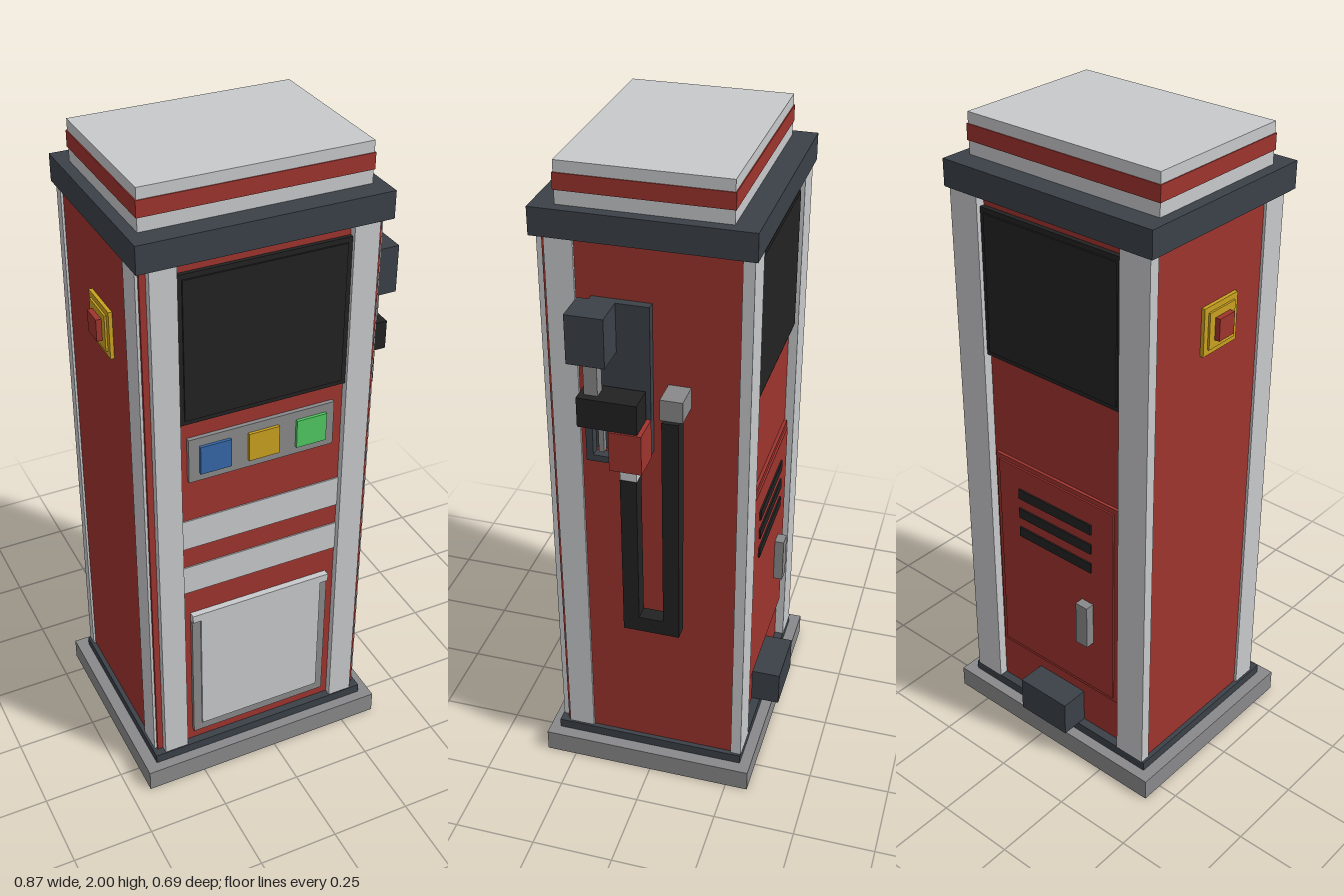
import * as THREE from 'three';

const mat = (name, color) => {
  const m = new THREE.MeshStandardMaterial({ color });
  m.name = name;
  return m;
};

export function createModel() {
  const light = mat('light grey', 0xc8c9cb), grey = mat('mid grey', 0x89898b);
  const slate = mat('dark slate', 0x3b4148), black = mat('black', 0x222222);
  const red = mat('red', 0x9e342e), blue = mat('blue', 0x3567a8);
  const yellow = mat('yellow', 0xc9a120), green = mat('green', 0x50c862);

  const model = new THREE.Group();
  model.name = 'fuelPump';
  const group = (name) => {
    const g = new THREE.Group();
    g.name = name;
    model.add(g);
    return g;
  };
  // Box given by its extents on each axis
  const box = (parent, name, m, [x0, x1], [y0, y1], [z0, z1]) => {
    const mesh = new THREE.Mesh(new THREE.BoxGeometry(x1 - x0, y1 - y0, z1 - z0), m);
    mesh.position.set((x0 + x1) / 2, (y0 + y1) / 2, (z0 + z1) / 2);
    mesh.name = name;
    parent.add(mesh);
    return mesh;
  };

  // Cabinet centre line and the panel opening between the pillars
  const CX = -0.037;
  const wide = (h) => [CX - h, CX + h];
  const panel = [-0.29, 0.217];

  // Base, body and roof
  const cabinet = group('cabinet');
  box(cabinet, 'base', grey, wide(0.4), [0, 0.07], [-0.32, 0.345]);
  box(cabinet, 'plinth', slate, wide(0.363), [0.07, 0.1], [-0.286, 0.313]);
  box(cabinet, 'body', red, wide(0.348), [0.1, 1.8], [-0.258, 0.288]);
  box(cabinet, 'cap', slate, wide(0.3665), [1.8, 1.88], [-0.295, 0.318]);
  box(cabinet, 'crown', light, wide(0.333), [1.88, 2], [-0.226, 0.253]);
  box(cabinet, 'crownStripe', red, wide(0.336), [1.92, 1.967], [-0.229, 0.256]);

  // Corner pillars: stepped at the front, flat at the back
  const pillars = group('pillars');
  for (const s of [-1, 1]) {
    const span = (a, b) => [CX + s * a, CX + s * b].sort((p, q) => p - q);
    box(pillars, 'frontPillar', light, span(0.2535, 0.33), [0.1, 1.8], [0.2, 0.31]);
    box(pillars, 'frontPillarSide', light, span(0.33, 0.356), [0.1, 1.8], [0.2, 0.28]);
    box(pillars, 'backPillar', light, span(0.2535, 0.355), [0.1, 1.8], [-0.286, -0.254]);
  }

  // Screens front and back
  const screens = group('screens');
  box(screens, 'frontScreen', black, panel, [1.31, 1.765], [0.28, 0.3]);
  box(screens, 'frontScreenGlass', black, [-0.275, 0.202], [1.325, 1.75], [0.3, 0.305]);
  box(screens, 'backScreen', black, panel, [1.31, 1.765], [-0.273, -0.25]);
  box(screens, 'backScreenGlass', black, [-0.275, 0.202], [1.325, 1.75], [-0.278, -0.273]);

  // Grade buttons
  const selector = group('gradeSelector');
  box(selector, 'selectorPanel', grey, [-0.265, 0.185], [1.115, 1.257], [0.28, 0.301]);
  [[blue, -0.233], [yellow, -0.085], [green, 0.064]].forEach(([m, x]) =>
    box(selector, 'gradeButton', m, [x, x + 0.094], [1.14, 1.23], [0.3, 0.31]));

  // Front stripes
  const stripes = group('stripes');
  box(stripes, 'upperStripe', light, panel, [0.875, 0.975], [0.286, 0.292]);
  box(stripes, 'lowerStripe', light, panel, [0.71, 0.806], [0.286, 0.292]);

  // Front service door
  const frontDoor = group('frontDoor');
  box(frontDoor, 'doorFrame', grey, [-0.264, 0.19], [0.138, 0.6], [0.28, 0.3]);
  box(frontDoor, 'doorTopLip', light, [-0.264, 0.19], [0.6, 0.626], [0.28, 0.308]);
  box(frontDoor, 'doorPanel', light, [-0.237, 0.165], [0.17, 0.6], [0.298, 0.306]);

  // Back access door with vents, handle and foot box
  const backDoor = group('backDoor');
  box(backDoor, 'accessDoor', red, [-0.278, 0.204], [0.26, 0.98], [-0.268, -0.25]);
  box(backDoor, 'accessPanel', red, [-0.262, 0.188], [0.276, 0.964], [-0.274, -0.268]);
  for (let i = 0; i < 3; i++) {
    const y = 0.875 - i * 0.069;
    box(backDoor, 'vent', black, [-0.18, 0.107], [y - 0.017, y + 0.017], [-0.279, -0.272]);
  }
  box(backDoor, 'doorHandle', grey, [-0.185, -0.141], [0.455, 0.603], [-0.303, -0.27]);
  box(backDoor, 'footBox', slate, [-0.13, 0.056], [0.1, 0.215], [-0.348, -0.25]);

  // Emergency stop on the side
  const stop = group('emergencyStop');
  box(stop, 'stopPlate', yellow, [-0.396, -0.38], [1.43, 1.575], [-0.06, 0.085]);
  box(stop, 'stopPlateInner', yellow, [-0.402, -0.395], [1.447, 1.558], [-0.043, 0.068]);
  box(stop, 'stopButton', red, [-0.418, -0.4], [1.47, 1.537], [-0.02, 0.045]);

  // Nozzle holder and nozzle
  const nozzle = group('nozzle');
  box(nozzle, 'holderPlate', slate, [0.3, 0.336], [1.185, 1.64], [-0.012, 0.157]);
  box(nozzle, 'holderHead', slate, [0.33, 0.434], [1.495, 1.64], [0.082, 0.19]);
  box(nozzle, 'spout', grey, [0.365, 0.402], [1.38, 1.5], [0.116, 0.155]);
  box(nozzle, 'nozzleBody', black, [0.343, 0.425], [1.3, 1.39], [0, 0.17]);
  box(nozzle, 'nozzleGrip', red, [0.338, 0.431], [1.178, 1.3], [-0.013, 0.08]);
  box(nozzle, 'guardFront', slate, [0.37, 0.4], [1.18, 1.3], [0.135, 0.155]);
  box(nozzle, 'guardBottom', slate, [0.37, 0.4], [1.18, 1.2], [0.08, 0.135]);
  box(nozzle, 'trigger', grey, [0.375, 0.395], [1.21, 1.3], [0.105, 0.12]);
  box(nozzle, 'hoseConnector', light, [0.364, 0.406], [1.135, 1.18], [0.01, 0.058]);

  // Square hose loop and its bracket
  const hose = group('hose');
  const hx = [0.362, 0.408];
  box(hose, 'hoseFront', black, hx, [0.61, 1.135], [0.01, 0.058]);
  box(hose, 'hoseBottom', black, hx, [0.61, 0.66], [-0.063, 0.01]);
  box(hose, 'hoseBack', black, hx, [0.61, 1.34], [-0.111, -0.063]);
  box(hose, 'hoseBracket', grey, [0.3, 0.395], [1.34, 1.403], [-0.119, -0.055]);

  return model;
}
